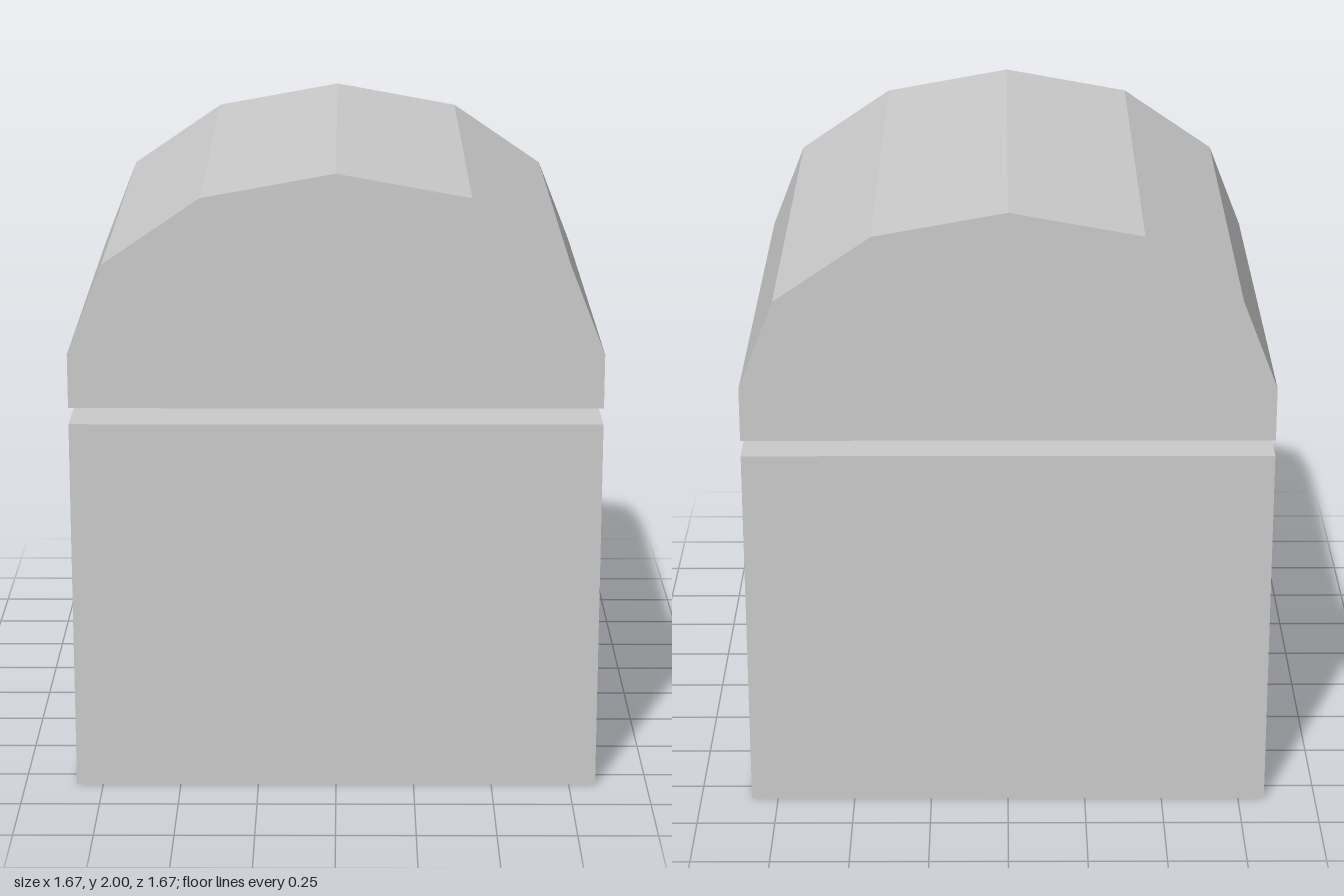
import * as THREE from 'three';

const HALF = 0.835;        // half width and half depth
const BODY_TOP = 1.205;
const LID_BOTTOM = 1.257;
const ARCH_BASE = 1.43;
const ARCH_HEIGHT = 0.57;
const ARCH_SIDES = 6;

export function createModel() {
  const group = new THREE.Group();
  group.name = 'chest';
  const material = new THREE.MeshStandardMaterial({ color: 0xcccccc, flatShading: true });

  // Square body
  const body = new THREE.Mesh(new THREE.BoxGeometry(HALF * 2, BODY_TOP, HALF * 2), material);
  body.name = 'body';
  body.position.y = BODY_TOP / 2;
  group.add(body);

  // Domed lid: short straight sides under a faceted half ellipse
  const profile = new THREE.Shape();
  profile.moveTo(-HALF, LID_BOTTOM);
  profile.lineTo(HALF, LID_BOTTOM);
  for (let i = 0; i <= ARCH_SIDES; i++) {
    const a = (i / ARCH_SIDES) * Math.PI;
    profile.lineTo(HALF * Math.cos(a), ARCH_BASE + ARCH_HEIGHT * Math.sin(a));
  }
  profile.closePath();
  const lidGeometry = new THREE.ExtrudeGeometry(profile, { depth: HALF * 2, bevelEnabled: false });
  lidGeometry.translate(0, 0, -HALF);
  const lid = new THREE.Mesh(lidGeometry, material);
  lid.name = 'lid';
  group.add(lid);

  return group;
}
